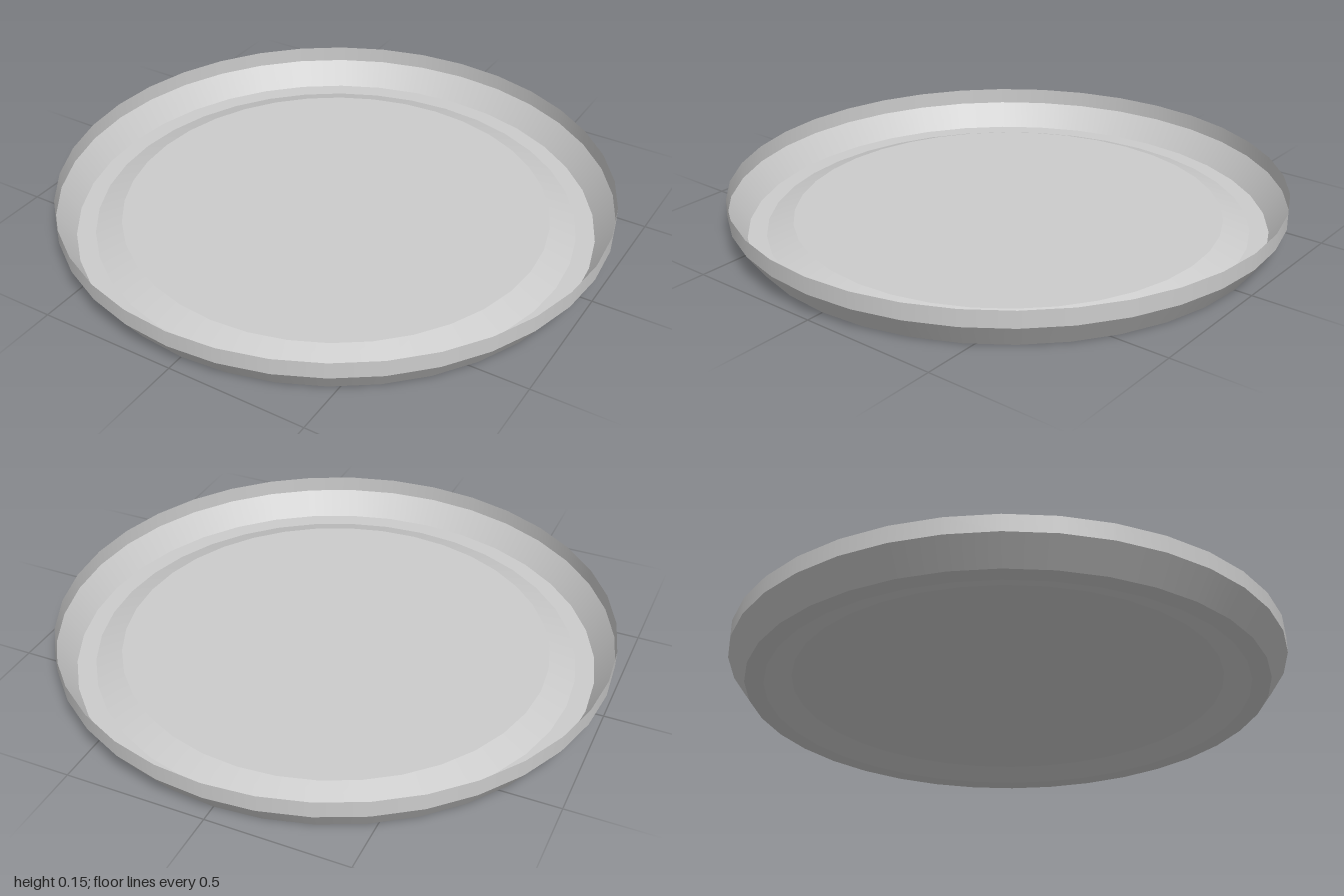
import * as THREE from 'three';

const SIDES = 36;

export function createModel() {
  const group = new THREE.Group();
  group.name = 'tray';
  const material = new THREE.MeshStandardMaterial({ color: 0xcccccc, side: THREE.DoubleSide });

  const add = (name, geometry) => {
    const mesh = new THREE.Mesh(geometry, material);
    mesh.name = name;
    group.add(mesh);
    return mesh;
  };

  // Thin rings, separate so that the edges between them stay sharp: [name, r0, y0, r1, y1]
  const bands = [
    ['floorStep', 0.775, 0.035, 0.87, 0],
    ['baseRing', 0.87, 0, 0.937, 0],
    ['slopedSide', 0.937, 0, 1, 0.09],
    ['uprightRim', 1, 0.09, 1, 0.15],
  ];
  for (const [name, r0, y0, r1, y1] of bands) {
    const profile = [new THREE.Vector2(r0, y0), new THREE.Vector2(r1, y1)];
    add(name, new THREE.LatheGeometry(profile, SIDES));
  }

  // Raised flat floor in the middle
  const floor = add('raisedFloor', new THREE.CircleGeometry(0.775, SIDES).rotateX(-Math.PI / 2));
  floor.position.y = 0.035;

  return group;
}
